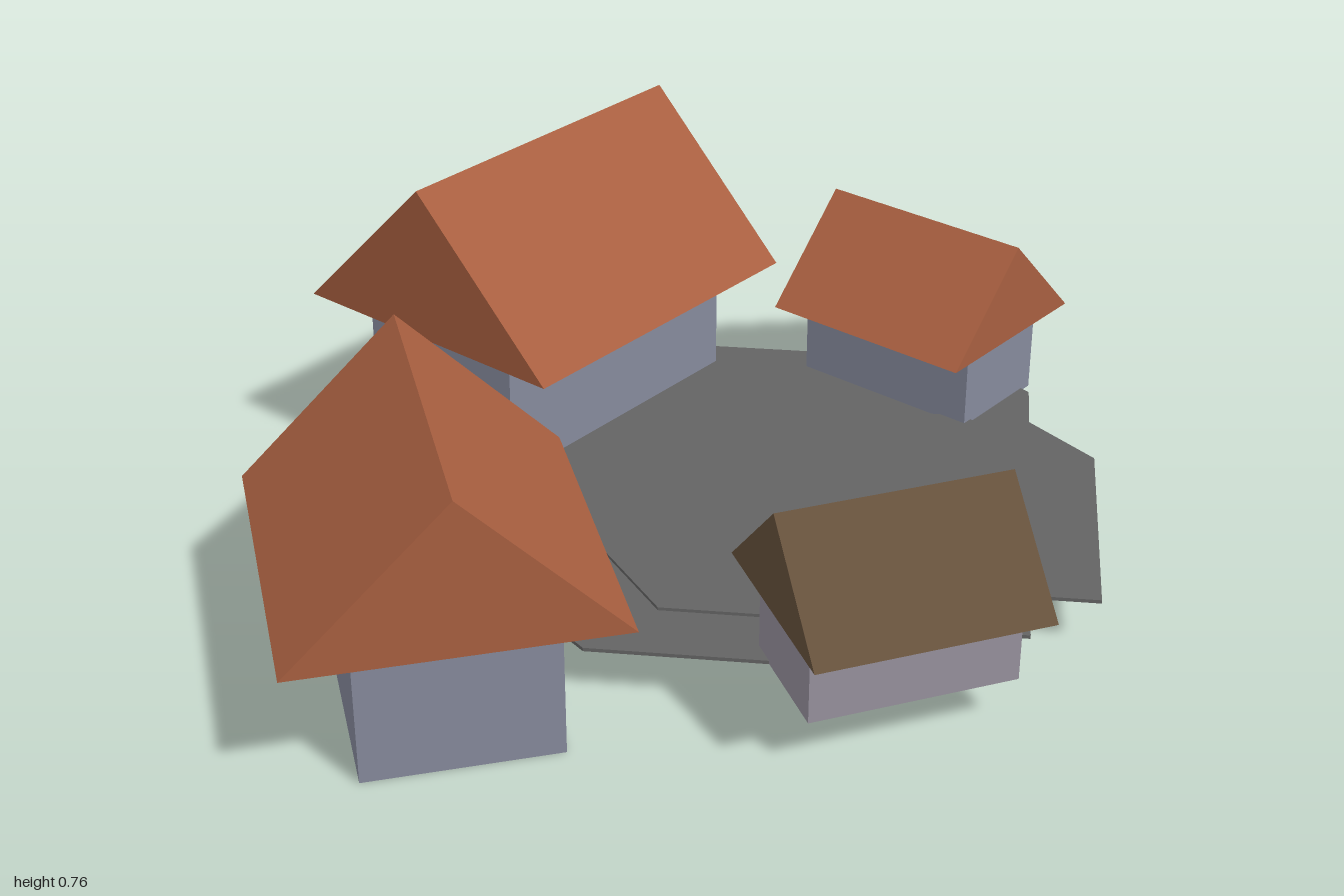
import * as THREE from 'three';

const material = (color) => new THREE.MeshStandardMaterial({ color, flatShading: true });
const tile = material(0xa85f40);
const thatch = material(0x66523c);
const greyWall = material(0x868a9c);
const paleWall = material(0x96909c);
const stone = material(0x646464);

// Gabled house: every part is proportional to the ridge length
function house({ name, x, z, ridge, turn, base, eave, top, roof = tile, wall = greyWall }) {
  const group = new THREE.Group();
  group.name = name;

  const height = eave - base;
  const walls = new THREE.Mesh(new THREE.BoxGeometry(0.53 * ridge, height, 0.89 * ridge), wall);
  walls.name = 'walls';
  walls.position.y = base + height / 2;

  // Closed triangular prism with wide eaves
  const half = 0.444 * ridge;
  const gable = new THREE.Shape([
    new THREE.Vector2(-half, 0),
    new THREE.Vector2(half, 0),
    new THREE.Vector2(0, top - eave),
  ]);
  const prism = new THREE.ExtrudeGeometry(gable, { depth: ridge, bevelEnabled: false });
  prism.translate(0, eave, -ridge / 2);
  const roofMesh = new THREE.Mesh(prism, roof);
  roofMesh.name = 'roof';

  group.add(walls, roofMesh);
  group.position.set(x, 0, z);
  group.rotation.y = turn;
  return group;
}

// Thin horizontal slab from an outline of [x, z] corners
function slab(name, corners, y, thickness) {
  const shape = new THREE.Shape(corners.map(([x, z]) => new THREE.Vector2(x, -z)));
  const geometry = new THREE.ExtrudeGeometry(shape, { depth: thickness, bevelEnabled: false });
  geometry.rotateX(-Math.PI / 2);
  const mesh = new THREE.Mesh(geometry, stone);
  mesh.name = name;
  mesh.position.y = y;
  return mesh;
}

export function createModel() {
  const model = new THREE.Group();
  model.name = 'village';

  // Four houses around the yard
  model.add(
    house({ name: 'largeBackHouse', x: -0.373, z: -0.468, ridge: 0.803, turn: -0.572, base: 0.115, eave: 0.41, top: 0.765 }),
    house({ name: 'largeFrontHouse', x: -0.443, z: 0.522, ridge: 0.76, turn: 0.364, base: 0, eave: 0.285, top: 0.622 }),
    house({ name: 'smallBackHouse', x: 0.484, z: -0.642, ridge: 0.513, turn: 0.994, base: 0.113, eave: 0.305, top: 0.532 }),
    house({ name: 'smallFrontHouse', x: 0.471, z: 0.556, ridge: 0.495, turn: 2.026, base: 0.113, eave: 0.29, top: 0.508, roof: thatch, wall: paleWall }),
  );

  // Paved yard with a stepped edge
  model.add(slab('yard', [
    [-0.42, -0.73], [0.6, -0.73], [0.75, -0.585], [0.75, -0.44], [0.895, -0.29],
    [0.895, 0.29], [0.75, 0.29], [0.75, 0.435], [0.6, 0.435], [0.6, 0.585],
    [-0.13, 0.585], [-0.42, 0.29],
  ], 0.112, 0.008));

  // Slightly raised middle of the yard
  model.add(slab('raisedPaving', [
    [-0.13, -0.29], [0.16, -0.44], [0.6, -0.44], [0.75, -0.29], [0.75, 0.15],
    [0.45, 0.15], [0.3, 0.29], [0.3, 0.435], [0, 0.435], [-0.2, 0.15],
  ], 0.119, 0.008));

  return model;
}
